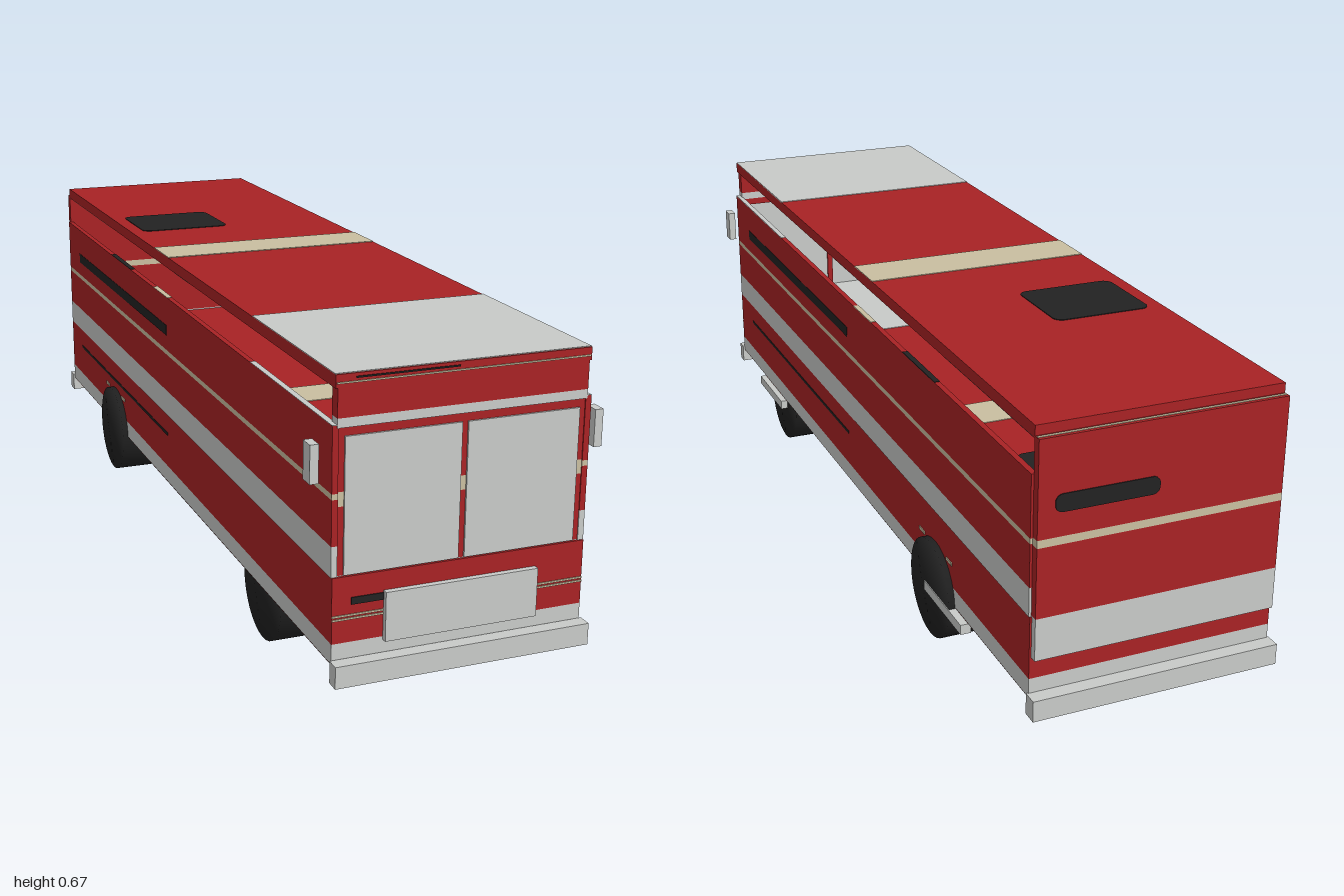
import * as THREE from 'three';
import { mergeVertices } from 'three/addons/utils/BufferGeometryUtils.js';

const mat = (name, color) => {
  const m = new THREE.MeshStandardMaterial({ color });
  m.name = name;
  return m;
};

export function createModel() {
  const red = mat('bodyRed', 0xa82224);
  const grey = mat('lightGrey', 0xc8cac8);
  const cream = mat('cream', 0xc9bea0);
  const black = mat('black', 0x222222);

  const bus = new THREE.Group();
  bus.name = 'bus';

  const add = (name, geometry, material) => {
    const mesh = new THREE.Mesh(geometry, material);
    mesh.name = name;
    bus.add(mesh);
    return mesh;
  };
  // Box given by its limits on each axis
  const box = (name, m, x0, x1, y0, y1, z0, z1) => {
    const mesh = add(name, new THREE.BoxGeometry(x1 - x0, y1 - y0, z1 - z0), m);
    mesh.position.set((x0 + x1) / 2, (y0 + y1) / 2, (z0 + z1) / 2);
    return mesh;
  };
  // Coloured layers stacked upwards: levels has one more entry than mats
  const stack = (name, levels, mats, x0, x1, z0, z1) =>
    mats.forEach((m, i) => box(name, m, x0, x1, levels[i], levels[i + 1], z0, z1));

  // Rounded hatch outline
  const hatchShape = (w, d, r) => {
    const s = new THREE.Shape();
    s.absarc(w - r, d - r, r, 0, Math.PI / 2);
    s.absarc(r - w, d - r, r, Math.PI / 2, Math.PI);
    s.absarc(r - w, r - d, r, Math.PI, Math.PI * 1.5);
    s.absarc(w - r, r - d, r, Math.PI * 1.5, Math.PI * 2);
    return s;
  };

  // Painted deck: front patch, cross band and hatch; f = -1 reverses it in z
  const paintDeck = (name, y, f, halfWidth) => {
    const span = (a, b) => [Math.min(a * f, b * f), Math.max(a * f, b * f)];
    const t = 0.0015;
    box(name + 'Patch', grey, -halfWidth, halfWidth, y - t, y + t, ...span(0.54, 0.965));
    box(name + 'Band', cream, -halfWidth, halfWidth, y - t, y + t, ...span(-0.135, -0.02));
    const hatch = add(name + 'Hatch', new THREE.ExtrudeGeometry(hatchShape(0.108, 0.095, 0.02),
      { depth: 2 * t, bevelEnabled: false }), black);
    hatch.rotation.x = -Math.PI / 2;
    hatch.position.set(-0.115, y - t, -0.418 * f);
  };

  // Lower body with floor
  stack('lowerBody', [0.115, 0.155, 0.285], [grey, red], -0.258, 0.258, -0.97, 0.97);
  box('underside', red, -0.257, 0.257, 0.113, 0.116, -0.968, 0.968);
  paintDeck('underside', 0.113, -1, 0.256);
  paintDeck('floor', 0.285, 1, 0.246);

  // Side walls with stripes, open above
  const wallLevels = [0.285, 0.345, 0.434, 0.445, 0.572];
  for (const s of [-1, 1]) {
    const x0 = s > 0 ? 0.247 : -0.259, x1 = x0 + 0.012;
    stack('sideWall', wallLevels, [grey, red, cream, red], x0, x1, -0.967, 0.967);
    box('wallTopPatch', grey, x0, x1, 0.571, 0.573, 0.54, 0.967);
    box('wallTopBand', cream, x0, x1, 0.571, 0.573, -0.135, -0.02);
    box('wallTopDark', black, x0, x1, 0.571, 0.573, -0.51, -0.33);

    // Dark slots on both faces of the wall and along the lower body
    for (const face of [-1, 1]) {
      const x = face > 0 ? x1 : x0;
      const [z0, z1] = face > 0 ? [0.03, 0.85] : [-0.85, -0.03];
      box('sideSlot', black, x - 0.001, x + 0.001, 0.481, 0.505, z0, z1);
    }
    const [l0, l1] = s > 0 ? [0.04, 0.86] : [-0.86, -0.04];
    box('lowerSlot', black, s * 0.258 - 0.001, s * 0.258 + 0.001, 0.233, 0.24, l0, l1);

    // Marker strips beside the rear wheel
    for (const z of [-0.6, -0.45]) {
      box('wheelMarker', cream, s * 0.259 - 0.001, s * 0.259 + 0.001, 0.203, 0.21, z, z + 0.03);
    }

    // Mirror
    box('mirror', grey, s * 0.287 - 0.0085, s * 0.287 + 0.0085, 0.463, 0.537, 0.92, 0.953);
  }

  // Roof
  box('roof', red, -0.254, 0.254, 0.64, 0.665, -0.968, 0.968);
  paintDeck('roof', 0.665, 1, 0.254);
  paintDeck('ceiling', 0.64, -1, 0.253);
  box('roofFrontLine', cream, -0.252, 0.252, 0.648, 0.651, 0.967, 0.97);
  box('roofFrontSlot', black, -0.215, -0.015, 0.656, 0.659, 0.967, 0.97);

  // Front header and pillars
  stack('frontHeader', [0.567, 0.585, 0.642], [grey, red], -0.25, 0.25, 0.943, 0.968);
  box('windowFrame', red, -0.247, 0.247, 0.55, 0.568, 0.945, 0.965);
  for (const x of [-0.241, 0, 0.241]) {
    stack('frontPillar', [0.285, 0.419, 0.447, 0.552], [red, cream, red],
      x - 0.007, x + 0.007, 0.945, 0.965);
  }

  // Windscreen panes
  for (const s of [-1, 1]) {
    box('windscreen', grey, s * 0.1205 - 0.1145, s * 0.1205 + 0.1145, 0.287, 0.551, 0.95, 0.969);
  }

  // Front panel, lines and bumpers
  for (const y of [0.2, 0.207]) {
    box('frontLine', cream, -0.258, 0.258, y, y + 0.0035, 0.969, 0.972);
  }
  box('frontSlot', black, -0.22, -0.14, 0.229, 0.243, 0.969, 0.972);
  box('grille', grey, -0.156, 0.156, 0.149, 0.247, 0.968, 0.982);
  box('frontBumper', grey, -0.262, 0.262, 0.08, 0.124, 0.972, 1);
  box('rearBumper', grey, -0.262, 0.262, 0.08, 0.124, -1, -0.968);

  // Rear wall
  stack('rearWall', [0.2, 0.288, 0.432, 0.448, 0.645], [grey, red, cream, red],
    -0.254, 0.254, -0.985, -0.966);
  box('rearTopLine', cream, -0.253, 0.253, 0.644, 0.646, -0.978, -0.972);
  const rearSlot = add('rearSlot', new THREE.ExtrudeGeometry(hatchShape(0.105, 0.018, 0.015),
    { depth: 0.003, bevelEnabled: false }), black);
  rearSlot.position.set(0.115, 0.515, -0.987);

  // Wheels with softly rounded shading
  const wheel = (name, x0, x1, z, r) => {
    let g = new THREE.CylinderGeometry(r, r, x1 - x0, 32);
    g.deleteAttribute('normal');
    g.deleteAttribute('uv');
    g = mergeVertices(g);
    g.computeVertexNormals();
    const mesh = add(name, g, black);
    mesh.rotation.z = Math.PI / 2;
    mesh.position.set((x0 + x1) / 2, r, z);
  };
  for (const s of [-1, 1]) {
    const range = (a, b) => (s > 0 ? [a, b] : [-b, -a]);
    wheel('frontWheel', ...range(0.178, 0.254), 0.595, 0.108);
    wheel('rearWheel', ...range(0.178, 0.271), -0.507, 0.108);
  }

  // Steps on one side only
  box('frontStep', grey, 0.25, 0.271, 0.09, 0.112, 0.565, 0.76);
  box('rearStep', grey, 0.25, 0.273, 0.09, 0.112, -0.68, -0.48);

  return bus;
}
